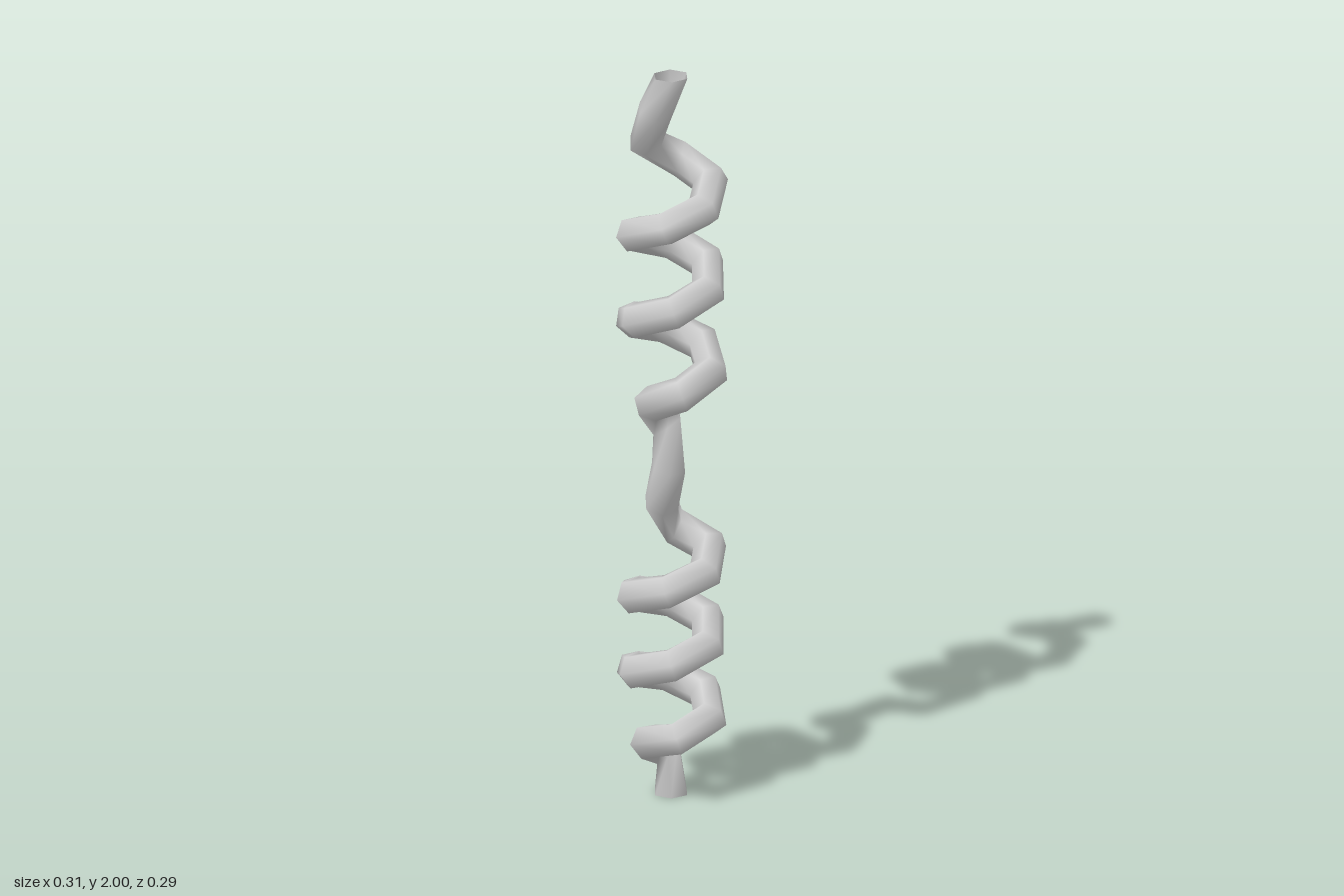
import * as THREE from 'three';

// Points of a right-handed helix around the y axis; y0 is a height where it crosses +x
function coil(from, to, y0, pitch, radius, steps) {
  const pts = [];
  for (let i = 0; i <= steps; i++) {
    const y = from + (to - from) * i / steps;
    const a = (y - y0) / pitch * Math.PI * 2;
    const r = i === 0 || i === steps ? radius * 0.93 : radius;
    pts.push(new THREE.Vector3(r * Math.cos(a), y, -r * Math.sin(a)));
  }
  return pts;
}

const points = (list) => list.map((p) => new THREE.Vector3(...p));

export function createModel() {
  const group = new THREE.Group();
  group.name = 'coiledTube';

  const path = [
    // lower end, rising into the first coil
    ...points([[0, 0, 0], [0, 0.03, 0], [-0.01, 0.1, -0.02], [-0.055, 0.14, 0.02]]),
    ...coil(0.17, 0.69, 0.22, 0.21, 0.11, 30),
    // nearly straight middle link
    ...points([
      [-0.06, 0.735, -0.055], [-0.04, 0.79, -0.022], [-0.02, 0.85, -0.005],
      [-0.005, 0.92, 0], [-0.005, 1.0, -0.008], [-0.04, 1.06, 0.01], [-0.025, 1.1, 0.06],
    ]),
    ...coil(1.14, 1.74, 1.18, 0.24, 0.11, 30),
    // upper end, returning to the axis
    ...points([[-0.09, 1.79, -0.03], [-0.06, 1.86, 0], [-0.03, 1.92, 0.01], [0, 1.975, 0], [0, 2, 0]]),
  ];

  // One open low-poly tube swept along the whole path
  const curve = new THREE.CatmullRomCurve3(path, false, 'centripetal');
  curve.arcLengthDivisions = 800;
  const tube = new THREE.Mesh(
    new THREE.TubeGeometry(curve, 41, 0.048, 6, false),
    new THREE.MeshStandardMaterial({ color: 0xcccccc, side: THREE.DoubleSide }),
  );
  tube.name = 'spiralTube';
  group.add(tube);
  return group;
}
